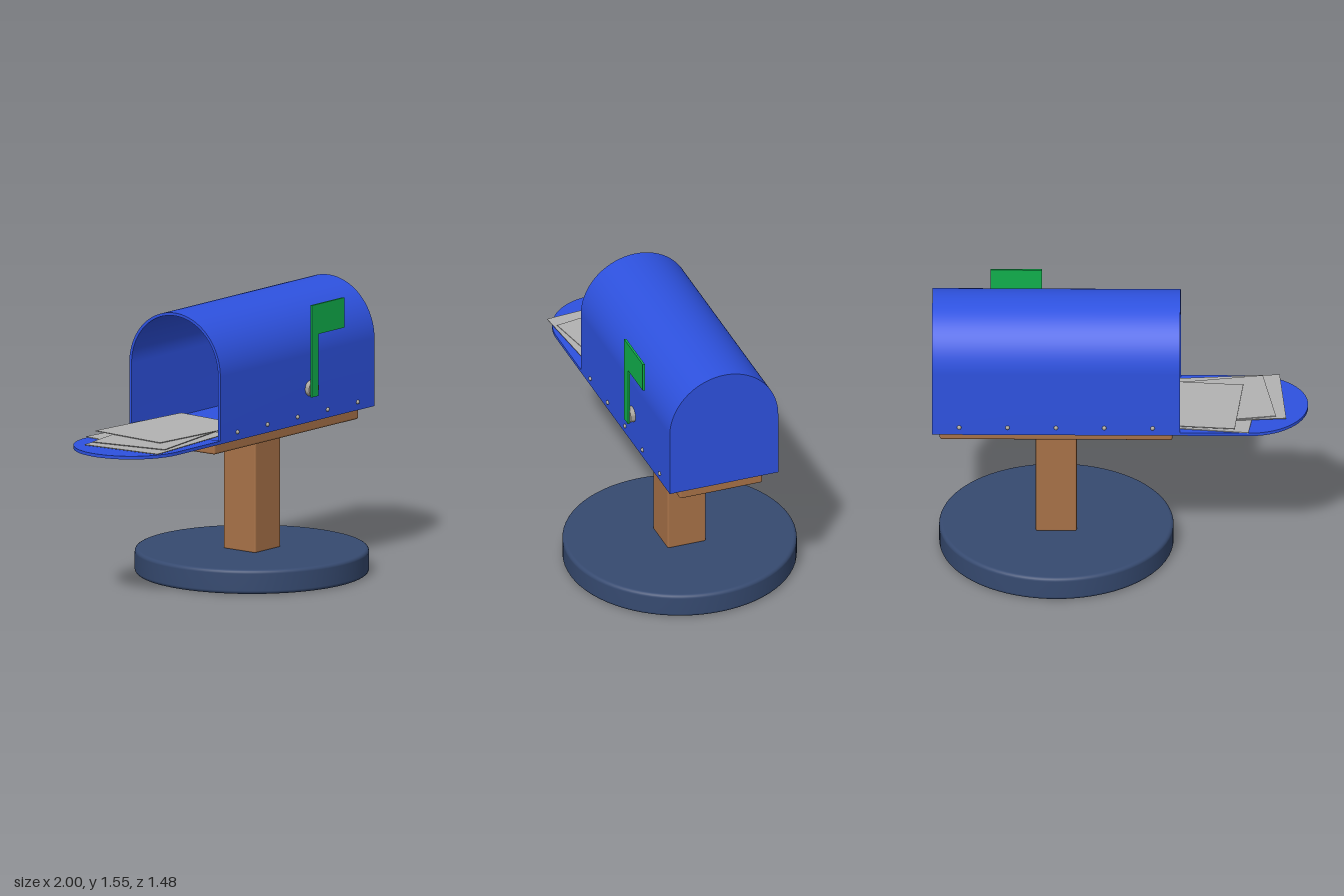
import * as THREE from 'three';
import { toCreasedNormals } from 'three/addons/utils/BufferGeometryUtils.js';
import { RoundedBoxGeometry } from 'three/addons/geometries/RoundedBoxGeometry.js';

const mat = (name, color) => {
  const m = new THREE.MeshStandardMaterial({ color });
  m.name = name;
  return m;
};

// Arched outline: straight sides topped by a half circle, base on y = 0
function arch(radius, straight, bottom, Type = THREE.Shape) {
  const s = new Type();
  s.moveTo(-radius, bottom);
  s.lineTo(radius, bottom);
  s.lineTo(radius, straight);
  s.absarc(0, straight, radius, 0, Math.PI, false);
  s.closePath();
  return s;
}

const extrude = (shape, depth) => toCreasedNormals(
  new THREE.ExtrudeGeometry(shape, { depth, bevelEnabled: false, curveSegments: 40 }), 0.6);

export function createModel() {
  const blue = mat('blue paint', 0x2e52e0);
  const wood = mat('wood', 0xa87248);
  const navy = mat('navy base', 0x364a70);
  const green = mat('green flag', 0x10b04c);
  const paper = mat('paper', 0xb2b2b2);
  const metal = mat('metal', 0xaca79e);

  const model = new THREE.Group();
  model.name = 'mailbox';
  const box = new THREE.Group(); // local +z is the open end, +x the flag side
  box.name = 'turnedAssembly';
  box.position.set(0.25, 0, -0.107);
  box.rotation.y = -1.083;
  model.add(box);

  const add = (name, geometry, material, x = 0, y = 0, z = 0) => {
    const m = new THREE.Mesh(geometry, material);
    m.name = name;
    m.position.set(x, y, z);
    box.add(m);
    return m;
  };

  const R = 0.317, STRAIGHT = 0.375, LENGTH = 1.354, FLOOR = 0.854, HALF = LENGTH / 2;

  // Round base with softened rims
  const profile = [new THREE.Vector2(0, 0)];
  const r = 0.02;
  for (const [cy, start] of [[r, -Math.PI / 2], [0.135 - r, 0]]) {
    for (let i = 0; i <= 5; i++) {
      const a = start + (i / 5) * Math.PI / 2;
      profile.push(new THREE.Vector2(0.64 - r + r * Math.cos(a), cy + r * Math.sin(a)));
    }
  }
  profile.push(new THREE.Vector2(0, 0.135));
  add('base', new THREE.LatheGeometry(profile, 72), navy);

  // Post and support board
  add('post', new RoundedBoxGeometry(0.224, 0.65, 0.224, 3, 0.01), wood, 0, 0.457, 0);
  add('supportBoard', new RoundedBoxGeometry(0.484, 0.076, 1.27, 3, 0.012), wood, 0, 0.817, 0);

  // Hollow arched body, closed at the back
  const shell = arch(R, STRAIGHT, 0);
  shell.holes.push(arch(R - 0.016, STRAIGHT, 0.016, THREE.Path));
  add('body', extrude(shell, LENGTH - 0.016), blue, 0, FLOOR, -HALF + 0.016);
  add('backPanel', extrude(arch(R, STRAIGHT, 0), 0.016), blue, 0, FLOOR, -HALF);

  // Door folded down flat in front of the opening
  const door = add('door', extrude(arch(R, STRAIGHT + 0.005, 0), 0.018), blue, 0, FLOOR + 0.018, HALF);
  door.rotation.x = Math.PI / 2;

  // Rivets along both lower edges
  const rivet = new THREE.SphereGeometry(0.012, 12, 8);
  for (const side of [-1, 1]) {
    for (let i = -2; i <= 2; i++) add('rivet', rivet, metal, side * R, 0.9, i * 0.264);
  }

  // Signal flag: arm and plate in one outline, on a round pivot
  const flag = new THREE.Shape();
  [[0, 0], [0.055, 0], [0.055, 0.345], [0.283, 0.345], [0.283, 0.512], [0, 0.512]]
    .forEach(([x, y], i) => (i ? flag.lineTo(x, y) : flag.moveTo(x, y)));
  flag.closePath();
  const flagMesh = add('flag', extrude(flag, 0.012), green, 0.343, 1.0, -0.081);
  flagMesh.rotation.y = Math.PI / 2;
  const pivot = add('flagPivot',
    toCreasedNormals(new THREE.CylinderGeometry(0.044, 0.044, 0.03, 28), 0.6),
    metal, R + 0.012, 1.043, -0.112);
  pivot.rotation.z = Math.PI / 2;

  // Loose letters: front-edge middle x, z, height, turn, width
  const letters = [
    [-0.094, 1.078, 0.876, -0.118, 0.46],
    [0.068, 1.236, 0.882, 0.083, 0.48],
    [0.062, 1.162, 0.890, 0.17, 0.45],
    [-0.074, 0.997, 0.897, -0.088, 0.485],
  ];
  for (const [x, z, y, turn, width] of letters) {
    const sheet = new THREE.BoxGeometry(width, 0.004, 0.68);
    sheet.translate(0, 0, -0.34);
    add('letter', sheet, paper, x, y, z).rotation.y = turn;
  }

  return model;
}
